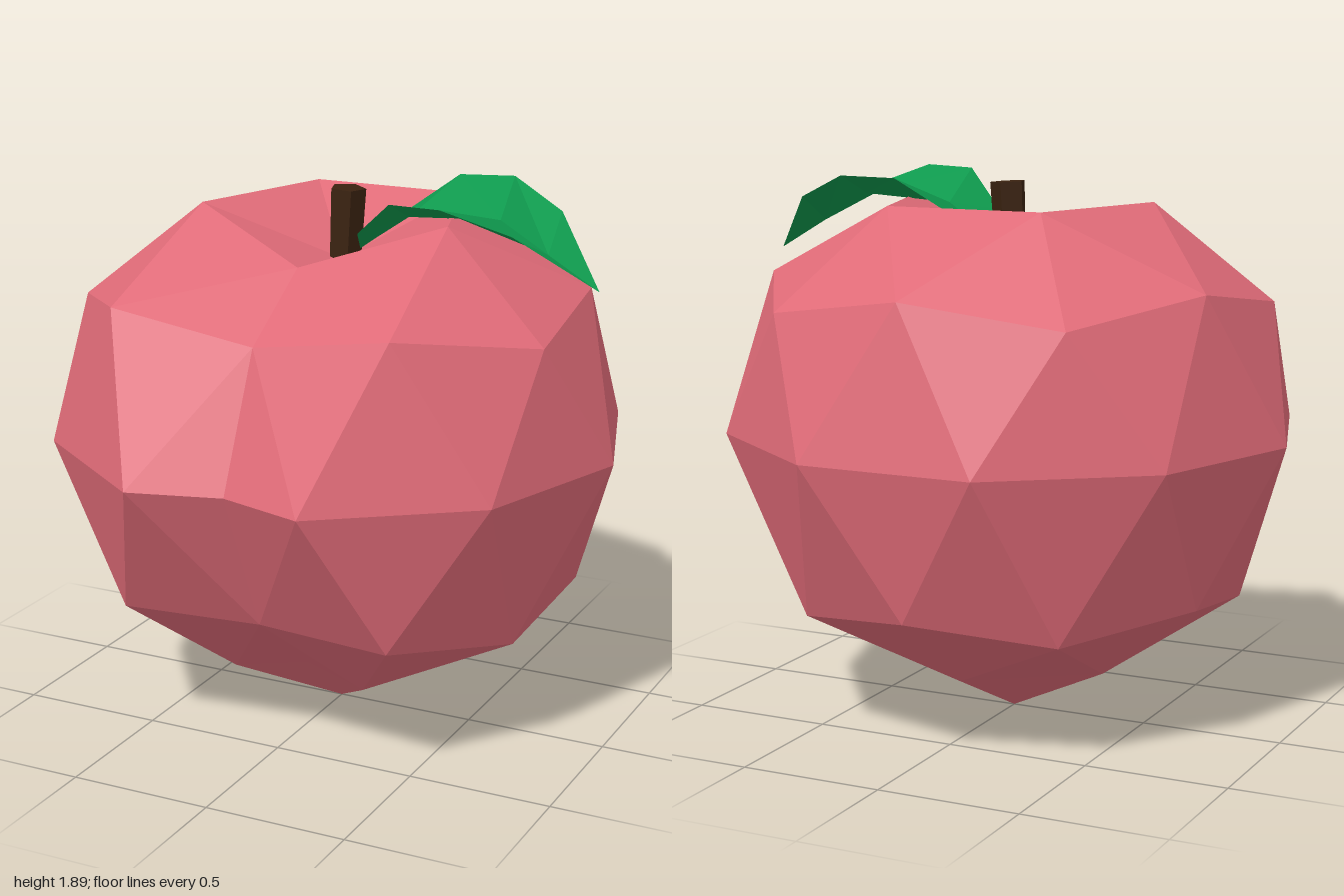
import * as THREE from 'three';

const skin = new THREE.MeshStandardMaterial({ color: 0xe06b78 });
skin.name = 'peach skin';
const green = new THREE.MeshStandardMaterial({ color: 0x0f9a4e, side: THREE.DoubleSide });
green.name = 'leaf green';
const bark = new THREE.MeshStandardMaterial({ color: 0x3a2210 });
bark.name = 'stem brown';
for (const m of [skin, green, bark]) m.flatShading = true;

// Mesh from a list of triangles, each a triple of [x, y, z] points
function facetMesh(name, tris, material) {
  const geo = new THREE.BufferGeometry();
  geo.setAttribute('position', new THREE.Float32BufferAttribute(tris.flat(2), 3));
  geo.computeVertexNormals();
  const mesh = new THREE.Mesh(geo, material);
  mesh.name = name;
  return mesh;
}

// Ring of points; angles in degrees from the front (+z) towards +x
function ring(count, start, radius, y) {
  return Array.from({ length: count }, (_, i) => {
    const a = THREE.MathUtils.degToRad(start + (i * 360) / count);
    return [radius * Math.sin(a), y, radius * Math.cos(a)];
  });
}

// Faceted fruit: a once-divided icosahedron with a pit, a pointed base and a front cleft
function fruit() {
  const pit = [0, 1.62, 0];
  const base = [0, 0, 0];
  const rim = ring(5, 0, 0.48, 1.8);
  const shoulder = ring(5, 0, 0.894, 1.467);
  const shoulderMid = ring(5, 36, 0.85, 1.546);
  const waist = ring(10, 18, 1, 1.02);
  const belly = ring(5, 36, 0.83, 0.5);
  const bellyMid = ring(5, 0, 0.795, 0.43);
  const foot = ring(5, 36, 0.42, 0.2);

  // Cleft: front points pushed inwards
  rim[0] = [0, 1.655, 0.33];
  shoulder[0] = [0, 1.46, 0.645];
  bellyMid[0] = [0, 0.5, 0.62];
  const waistCleft = [0, 1.015, 0.85];
  const footCleft = [0, 0.23, 0.27];

  const tris = [];
  for (let k = 0; k < 5; k++) {
    const n = (k + 1) % 5, p = (k + 4) % 5;
    const wl = waist[(2 * k + 9) % 10], w0 = waist[2 * k], w1 = waist[2 * k + 1];
    const fl = foot[p], f = foot[k];
    tris.push(
      // upper half
      [pit, rim[k], rim[n]],
      [rim[k], shoulderMid[k], rim[n]],
      [rim[k], shoulder[k], shoulderMid[k]],
      [rim[n], shoulderMid[k], shoulder[n]],
      [shoulder[k], w0, shoulderMid[k]],
      [shoulderMid[k], w0, w1],
      [shoulderMid[k], w1, shoulder[n]],
      // lower half
      [w0, belly[k], w1],
      [w0, bellyMid[k], belly[k]],
      [w1, belly[k], bellyMid[n]],
      [bellyMid[k], f, belly[k]],
      [belly[k], f, bellyMid[n]],
    );
    // faces along the centre line of each sector; split by the cleft at the front
    const spans = k === 0
      ? [[wl, waistCleft, fl, footCleft], [waistCleft, w0, footCleft, f]]
      : [[wl, w0, fl, f]];
    for (const [a, b, c, d] of spans) {
      tris.push([shoulder[k], a, b], [a, bellyMid[k], b], [bellyMid[k], c, d], [c, base, d]);
    }
  }
  return facetMesh('fruit', tris, skin);
}

// Folded leaf: rows of [edge x, edge y, half width, spine x, spine y]
function leaf() {
  const rows = [
    [0.07, 1.66, 0, 0.07, 1.66],
    [0.14, 1.75, 0.17, 0.14, 1.71],
    [0.31, 1.885, 0.29, 0.25, 1.785],
    [0.5, 1.89, 0.32, 0.58, 1.805],
    [0.71, 1.805, 0.225, 0.75, 1.705],
    [0.93, 1.6, 0, 0.93, 1.6],
  ];
  const tris = [];
  for (let i = 0; i < rows.length - 1; i++) {
    for (const s of [1, -1]) {
      const [e0, e1] = [rows[i], rows[i + 1]].map(r => [r[0], r[1], s * r[2]]);
      const [m0, m1] = [rows[i], rows[i + 1]].map(r => [r[3], r[4], 0]);
      const quad = [];
      if (rows[i][2] > 0) quad.push([m0, e0, m1]);
      if (rows[i + 1][2] > 0) quad.push([m1, e0, e1]);
      tris.push(...quad.map(t => (s > 0 ? t : [t[0], t[2], t[1]])));
    }
  }
  return facetMesh('leaf', tris, green);
}

export function createModel() {
  const model = new THREE.Group();
  model.name = 'peach';
  model.add(fruit(), leaf());

  // Five-sided, slightly leaning stem
  const stemGeo = new THREE.CylinderGeometry(0.063, 0.056, 0.26, 5);
  stemGeo.rotateY(Math.PI);
  const stem = new THREE.Mesh(stemGeo, bark);
  stem.name = 'stem';
  stem.position.set(0.016, 1.735, 0);
  stem.rotation.z = -0.05;
  model.add(stem);
  return model;
}
